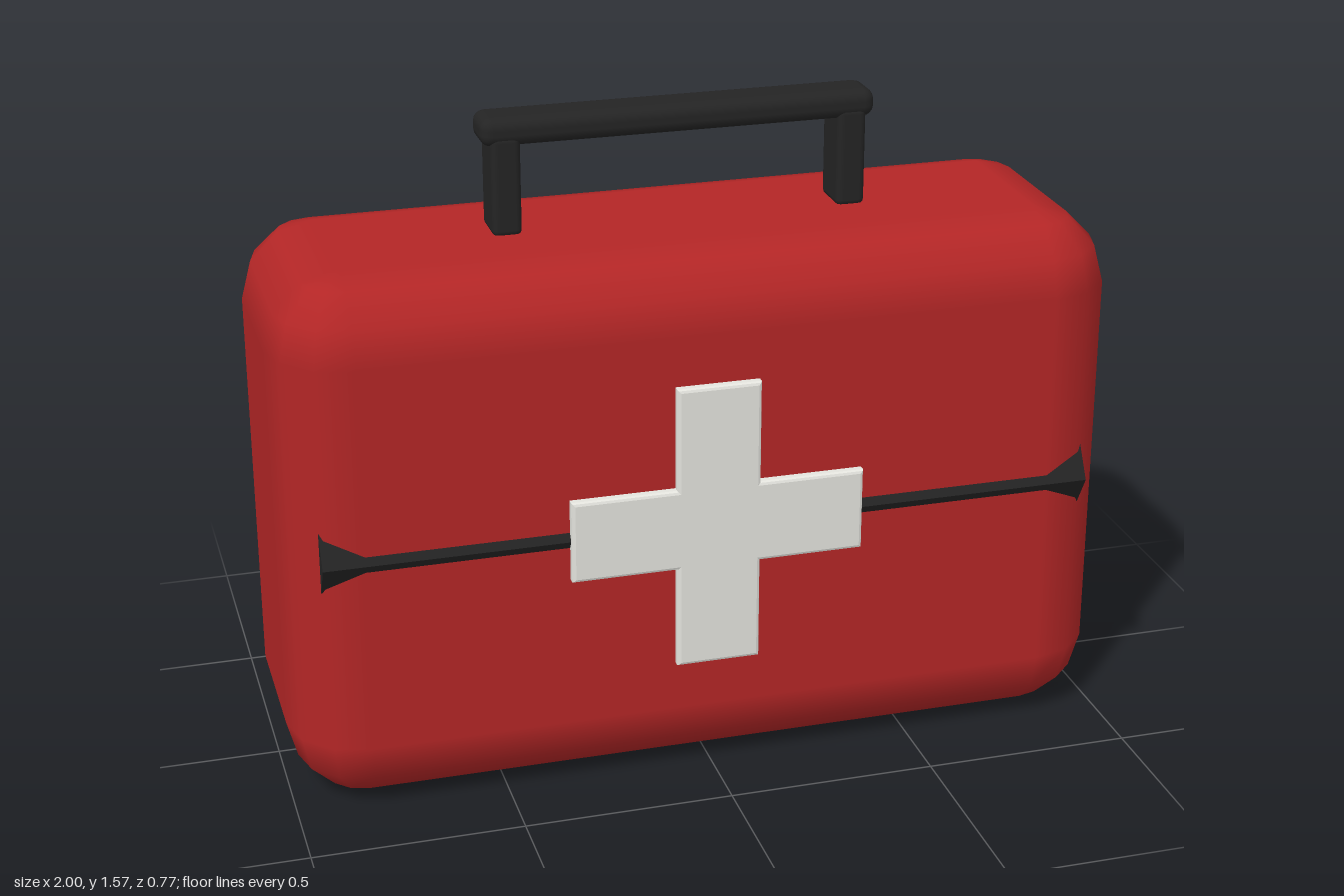
import * as THREE from 'three';
import { RoundedBoxGeometry } from 'three/addons/geometries/RoundedBoxGeometry.js';

// Box with three-step rounded edges and spherical corners
function bevelledBox(w, h, d, r, steps = 3) {
  const pos = [], nor = [], idx = [];
  const cols = 4 * (steps + 1), rows = 2 * (steps + 1);
  const step = Math.PI / 2 / steps;
  for (let i = 0; i < rows; i++) {
    const upper = i > steps;
    const lat = upper ? (i - steps - 1) * step : (i - steps) * step;
    for (let j = 0; j < cols; j++) {
      const q = Math.floor(j / (steps + 1));
      const lon = q * Math.PI / 2 + (j % (steps + 1)) * step;
      const n = [Math.cos(lat) * Math.sin(lon), Math.sin(lat), Math.cos(lat) * Math.cos(lon)];
      const sx = q < 2 ? 1 : -1, sy = upper ? 1 : -1, sz = q === 0 || q === 3 ? 1 : -1;
      pos.push(sx * (w / 2 - r) + n[0] * r, sy * (h / 2 - r) + n[1] * r, sz * (d / 2 - r) + n[2] * r);
      nor.push(...n);
      if (i < rows - 1) {
        const a = i * cols + j, b = i * cols + (j + 1) % cols;
        idx.push(a, b, b + cols, a, b + cols, a + cols);
      }
    }
  }
  // Flat bottom and top
  const k = steps + 1, t = (rows - 1) * cols;
  idx.push(0, 2 * k, k, 0, 3 * k, 2 * k);
  idx.push(t, t + k, t + 2 * k, t, t + 2 * k, t + 3 * k);
  const g = new THREE.BufferGeometry();
  g.setAttribute('position', new THREE.Float32BufferAttribute(pos, 3));
  g.setAttribute('normal', new THREE.Float32BufferAttribute(nor, 3));
  g.setIndex(idx);
  return g;
}

// Plus-shaped plate with a softened rim, centred on the origin
function crossPlate(arm, half, depth, bevel) {
  const a = arm - bevel, b = half - bevel;
  const shape = new THREE.Shape([
    [-b, -a], [b, -a], [b, -b], [a, -b], [a, b], [b, b],
    [b, a], [-b, a], [-b, b], [-a, b], [-a, -b], [-b, -b],
  ].map(([x, y]) => new THREE.Vector2(x, y)));
  const g = new THREE.ExtrudeGeometry(shape, {
    depth: depth - 2 * bevel, bevelEnabled: true, bevelSize: bevel, bevelThickness: bevel, bevelSegments: 2,
  });
  return g.translate(0, 0, -depth / 2 + bevel);
}

export function createModel() {
  const model = new THREE.Group();
  model.name = 'firstAidCase';

  const material = (name, color) => {
    const m = new THREE.MeshStandardMaterial({ color });
    m.name = name;
    return m;
  };
  const red = material('caseRed', 0xb32626);
  const black = material('trimBlack', 0x242424);
  const white = material('crossWhite', 0xe4e4de);

  const add = (name, geometry, mat, x, y, z) => {
    const mesh = new THREE.Mesh(geometry, mat);
    mesh.name = name;
    mesh.position.set(x, y, z);
    model.add(mesh);
    return mesh;
  };

  const midZ = 0.008;
  add('caseBody', bevelledBox(2, 1.294, 0.706, 0.178), red, 0, 0.647, midZ);

  // Ridged seam and cross on the front and the back
  const seam = new THREE.CylinderGeometry(0.1, 0.1, 1.84, 6).toNonIndexed();
  seam.computeVertexNormals();
  seam.rotateZ(Math.PI / 2);
  const cross = crossPlate(0.35, 0.1, 0.04, 0.008);
  for (const [side, s] of [['front', 1], ['back', -1]]) {
    add(side + 'Seam', seam, black, 0, 0.65, midZ + s * 0.264);
    const plate = add(side + 'Cross', cross, white, 0, 0.65, midZ + s * 0.356);
    if (s < 0) plate.rotation.y = Math.PI;
  }

  // Latch on the back
  add('latch', new RoundedBoxGeometry(0.116, 0.176, 0.05, 2, 0.012), black, 0.76, 0.747, -0.359);

  // Carrying handle
  add('handleGrip', new RoundedBoxGeometry(0.94, 0.068, 0.118, 2, 0.028), black, 0, 1.535, 0.01);
  for (const s of [-1, 1]) {
    add(s > 0 ? 'leftHandlePost' : 'rightHandlePost',
      new RoundedBoxGeometry(0.07, 0.24, 0.116, 2, 0.016), black, s * 0.413, 1.408, 0.01);
  }
  return model;
}
